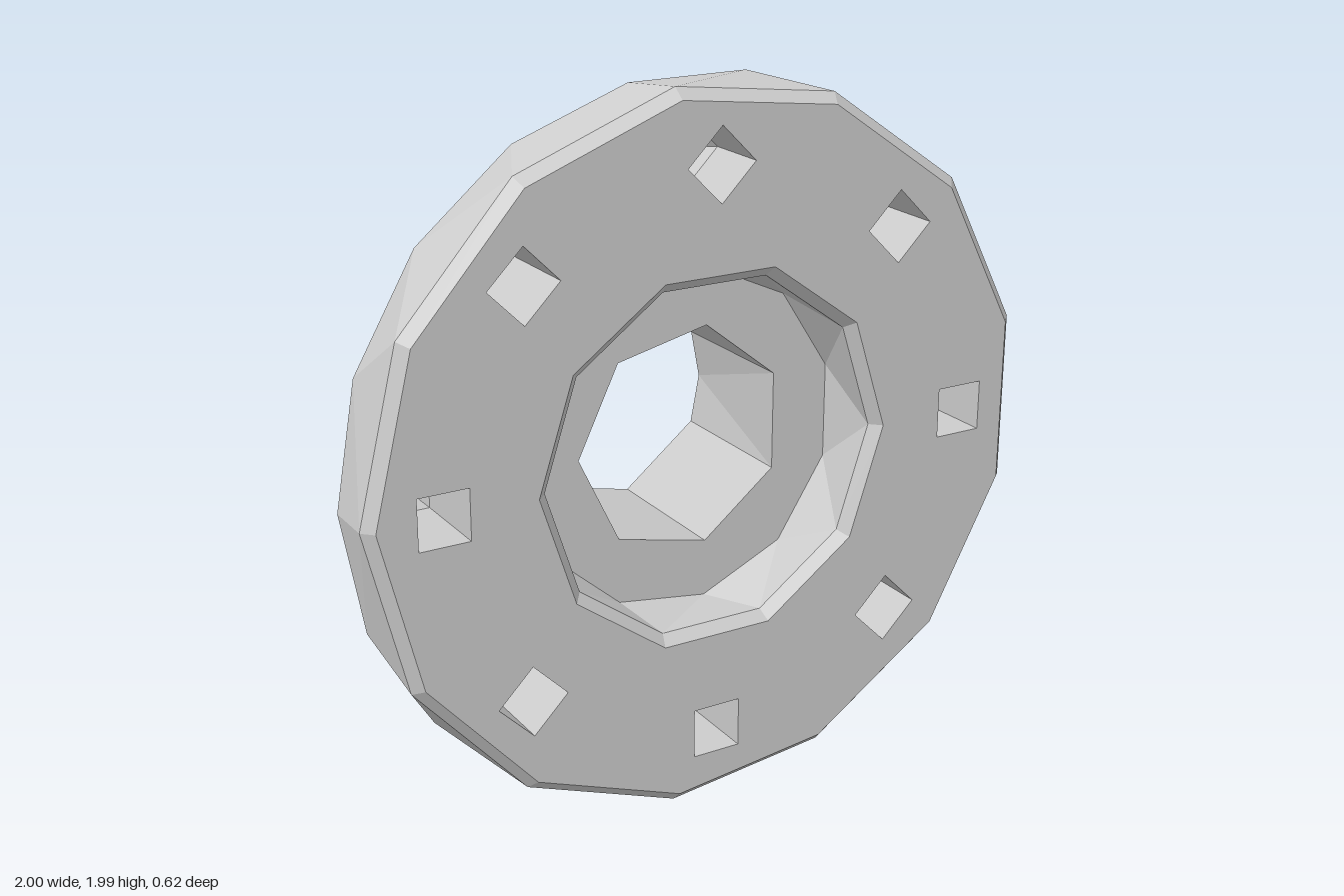
import * as THREE from 'three';

const grey = new THREE.MeshStandardMaterial({ color: 0xcccccc, flatShading: true, side: THREE.DoubleSide });

// Regular polygon ring around the z axis, first corner at -x; f is the fraction of a full turn
function ring(n, r, z) {
  return Array.from({ length: n }, (_, i) => corner(i / n, r, z));
}

function corner(f, r, z) {
  const a = Math.PI + f * Math.PI * 2;
  return { f, p: [r * Math.cos(a), r * Math.sin(a), z] };
}

// Zips two rings with differing corner counts into a band of triangles
function band(a, b) {
  const pos = [];
  const frac = (r, i) => (i < r.length ? r[i].f : 1 + r[i - r.length].f);
  const at = (r, i) => r[i % r.length].p;
  let i = 0, j = 0;
  while (i < a.length || j < b.length) {
    const stepA = j >= b.length || (i < a.length && frac(a, i + 1) <= frac(b, j + 1));
    if (stepA) {
      pos.push(...at(a, i), ...at(b, j), ...at(a, i + 1));
      i++;
    } else {
      pos.push(...at(a, i), ...at(b, j), ...at(b, j + 1));
      j++;
    }
  }
  const g = new THREE.BufferGeometry();
  g.setAttribute('position', new THREE.Float32BufferAttribute(pos, 3));
  g.computeVertexNormals();
  return g;
}

const vectors = (r) => r.map(({ p }) => new THREE.Vector2(p[0], p[1]));

export function createModel() {
  const model = new THREE.Group();
  model.name = 'flange';
  const add = (parent, name, geometry) => {
    const m = new THREE.Mesh(geometry, grey);
    m.name = name;
    parent.add(m);
    return m;
  };

  const zFace = 0.31, zChamfer = 0.28, zRim = 0.14, zFloor = 0.125, zEnd = -0.31;
  const faceEdge = ring(13, 0.97, zFace);
  const rimFront = ring(13, 1, zChamfer);
  const rimBack = ring(18, 1, zRim);
  const mouth = ring(10, 0.53, zFace);
  const throat = ring(10, 0.5, zChamfer);
  const floorEdge = ring(11, 0.48, zFloor);
  const hubFront = ring(7, 0.32, zFloor);
  // The hub's far end has one more corner, at +x
  const hubBack = [...ring(7, 0.32, zEnd), corner(0.5, 0.315, zEnd)].sort((a, b) => a.f - b.f);

  // Bolt pockets: square sockets pressed back through the face, each with a pointed end
  const pocketR = 0.1, tip = 0.06;
  const holes = [];
  for (let k = 0; k < 8; k++) {
    const a = (k * Math.PI) / 4;
    const x = 0.79 * Math.cos(a), y = 0.79 * Math.sin(a);
    const square = k === 0 || k === 4 || k === 6;   // sides level, otherwise a diamond
    const shoulder = k === 2 ? 0.125 : 0.06;        // the top pocket is shallower
    const depth = zFace - shoulder;
    const pocket = new THREE.Group();
    pocket.name = 'boltPocket';
    pocket.position.set(x, y, 0);
    pocket.rotation.z = square ? Math.PI / 4 : 0;
    add(pocket, 'pocketWalls', new THREE.CylinderGeometry(pocketR, pocketR, depth, 4, 1, true)
      .rotateX(-Math.PI / 2).translate(0, 0, shoulder + depth / 2));
    add(pocket, 'pocketTip', new THREE.ConeGeometry(pocketR, tip, 4, 1, true)
      .rotateX(-Math.PI / 2).translate(0, 0, shoulder - tip / 2));
    model.add(pocket);

    const corners = [0, 1, 2, 3].map((q) => {
      const c = (q * Math.PI) / 2 + pocket.rotation.z;
      return new THREE.Vector2(x + pocketR * Math.cos(c), y + pocketR * Math.sin(c));
    });
    holes.push(new THREE.Path(corners));
  }

  // Front plate, open at the mouth and the pockets
  const plate = new THREE.Shape(vectors(faceEdge));
  plate.holes.push(new THREE.Path(vectors(mouth)), ...holes);
  add(model, 'frontPlate', new THREE.ShapeGeometry(plate).translate(0, 0, zFace));

  // Outer rim, open at the back
  add(model, 'rimChamfer', band(faceEdge, rimFront));
  add(model, 'rimWall', band(rimFront, rimBack));

  // Central recess and hub tube, open at the far end
  add(model, 'recessChamfer', band(mouth, throat));
  add(model, 'recessWall', band(throat, floorEdge));
  add(model, 'recessFloor', band(floorEdge, hubFront));
  add(model, 'hubTube', band(hubFront, hubBack));

  model.position.y = 0.993;
  const root = new THREE.Group();
  root.name = 'wheelFlange';
  root.add(model);
  return root;
}
